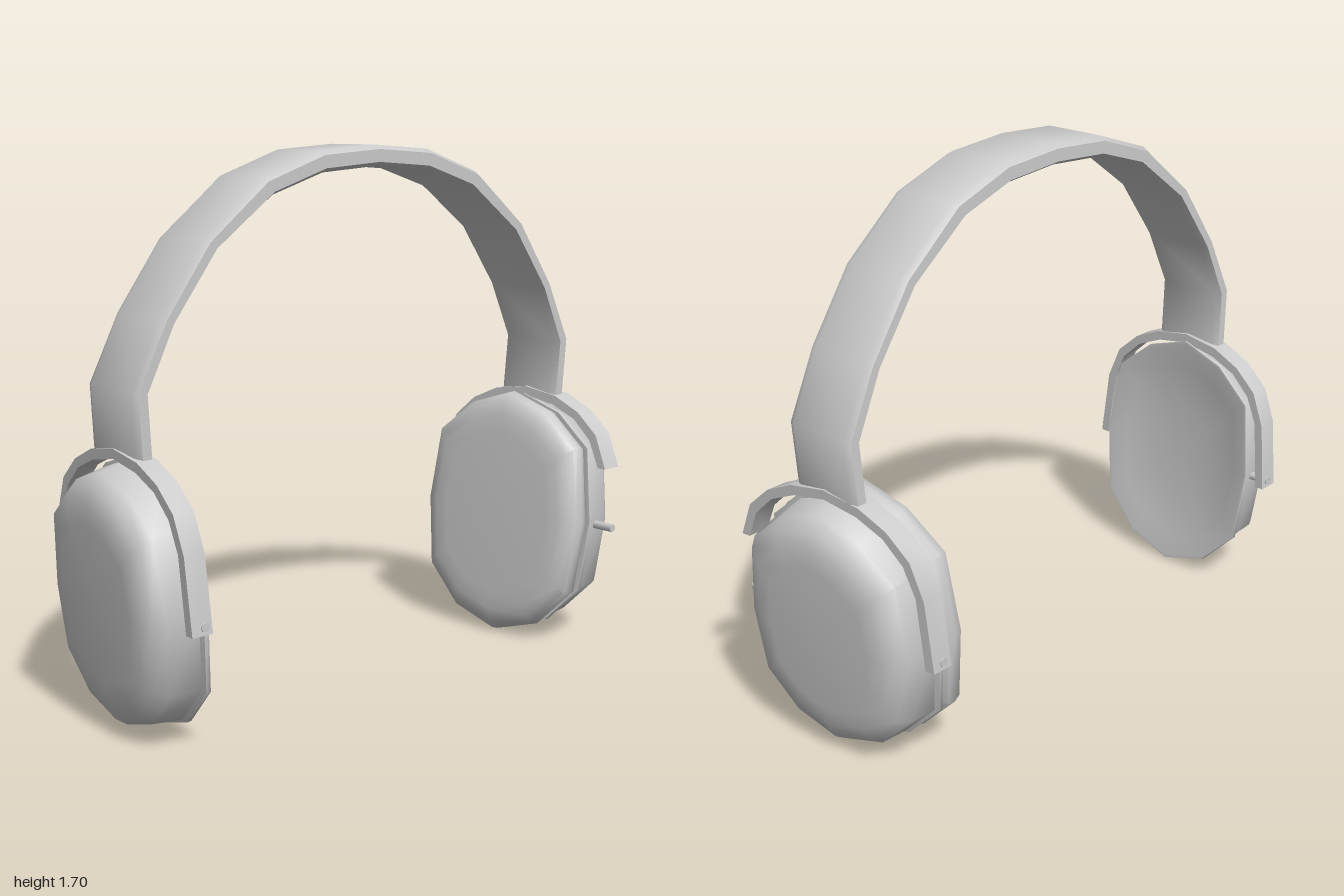
import * as THREE from 'three';
import { toCreasedNormals } from 'three/addons/utils/BufferGeometryUtils.js';

const material = new THREE.MeshStandardMaterial({ color: 0xcccccc });

// Closed skin through a list of cross-sections, each a loop of [x, y, z]; ends are capped.
function loft(name, sections) {
  const n = sections[0].length, pos = sections.flat(2), index = [];
  const cap = (loop) => {
    pos.push(...[0, 1, 2].map((k) => loop.reduce((sum, p) => sum + p[k], 0) / n));
    return pos.length / 3 - 1;
  };
  const first = cap(sections[0]), last = cap(sections.at(-1));
  const end = (sections.length - 1) * n;
  for (let j = 0; j < n; j++) {
    const k = (j + 1) % n;
    for (let i = 0; i < end; i += n) index.push(i + j, i + k, i + n + k, i + j, i + n + k, i + n + j);
    index.push(first, k, j, last, end + j, end + k);
  }
  // Turn the faces outward: the enclosed volume must be positive.
  const v = (i) => new THREE.Vector3().fromArray(pos, i * 3);
  let volume = 0;
  for (let t = 0; t < index.length; t += 3) volume += v(index[t]).dot(v(index[t + 1]).cross(v(index[t + 2])));
  if (volume < 0) index.reverse();

  const geo = new THREE.BufferGeometry();
  geo.setAttribute('position', new THREE.Float32BufferAttribute(pos, 3));
  geo.setIndex(index);
  const mesh = new THREE.Mesh(toCreasedNormals(geo, 0.85), material);
  mesh.name = name;
  return mesh;
}

// Twelve-sided ear outline as [z, y]
const half = [[0, 0.405], [0.157, 0.355], [0.285, 0.25], [0.317, 0.005], [0.29, -0.23], [0.165, -0.355], [0, -0.405]];
const outline = [...half, ...half.slice(1, -1).reverse().map(([z, y]) => [-z, y])];

// Stack of scaled ear outlines; profile is [depth, scale]
const earShape = (name, profile) =>
  loft(name, profile.map(([u, k]) => outline.map(([z, y]) => [u, y * k, z * k])));

// Headband: matching outer and inner edge points, centre to end
function headband() {
  const outer = [[0, 1.7], [0.22, 1.685], [0.44, 1.61], [0.65, 1.44], [0.8, 1.23], [0.9, 1.03], [0.887, 0.83]];
  const inner = [[0, 1.635], [0.21, 1.62], [0.4, 1.56], [0.61, 1.41], [0.76, 1.21], [0.85, 1.02], [0.835, 0.83]];
  const bevel = [[0, 0.1], [0.2, 0.123], [0.8, 0.123], [1, 0.1], [1, -0.1], [0.8, -0.123], [0.2, -0.123], [0, -0.1]];
  const section = (i, s) => bevel.map(([t, z]) => {
    const y = THREE.MathUtils.lerp(inner[i][1], outer[i][1], t);
    return [s * THREE.MathUtils.lerp(inner[i][0], outer[i][0], t), y, z + 0.023 * (y - 0.83)];
  });
  const ids = outer.map((_, i) => i);
  return loft('headband', [
    ...ids.slice(1).reverse().map((i) => section(i, -1)),
    ...ids.map((i) => section(i, 1)),
  ]);
}

// Sideways position of the yoke, which is slightly turned and tilted
const yokeX = (y, z) => 0.86 + 0.07 * z + 0.04 * (y - 0.85);

// Yoke: flat strip arching over the cup; the left one has a short front leg
function yoke(s) {
  const outer = [[0, 0.855], [0.13, 0.835], [0.23, 0.79], [0.31, 0.72], [0.355, 0.61], [0.378, 0.385]];
  const inner = [[0, 0.825], [0.12, 0.805], [0.215, 0.765], [0.285, 0.7], [0.325, 0.61], [0.346, 0.385]];
  const section = (i, d) => [[outer, -1], [outer, 1], [inner, 1], [inner, -1]].map(([edge, w]) => {
    const [z, y] = edge[i];
    return [s * (yokeX(y, d * z) + w * 0.035), y, d * z];
  });
  const ids = outer.map((_, i) => i);
  const front = s > 0 ? ids.slice(0, -1) : ids;
  return loft(s > 0 ? 'leftYoke' : 'rightYoke', [
    ...ids.slice(1).reverse().map((i) => section(i, -1)),
    ...front.map((i) => section(i, 1)),
  ]);
}

// Hinge pin joining the cup to a yoke leg
function pin(s, d) {
  const mesh = new THREE.Mesh(new THREE.CylinderGeometry(0.014, 0.014, 0.1, 8), material);
  mesh.rotation.x = Math.PI / 2;
  mesh.position.set(s * (yokeX(0.405, d * 0.34) - 0.008), 0.408, d * 0.33);
  mesh.name = 'hingePin';
  return mesh;
}

// Ear cup: rounded shell, groove, rim plate and shallow dish; local +x points outward
function earCup(s) {
  const side = new THREE.Group();
  side.name = s > 0 ? 'leftEarCup' : 'rightEarCup';
  side.position.set(s * 0.78, 0.42, 0);
  side.rotation.y = s > 0 ? 0 : Math.PI;
  const tilt = new THREE.Group();
  tilt.name = 'tiltedCup';
  tilt.rotation.set(0, s * 0.08, -0.09);
  tilt.add(earShape('cupShell', [
    [0.18, 0.6], [0.175, 0.75], [0.155, 0.88], [0.12, 0.95], [0.025, 0.99], [0.021, 0.95],
    [0.015, 1.02], [0, 1.02], [0, 0.99], [0.018, 0.8], [0.033, 0.4], [0.036, 0.02],
  ]));
  // Ear cushion, on the left cup only
  if (s > 0) {
    tilt.add(earShape('earCushion', [
      [0.005, 0.94], [-0.012, 0.97], [-0.025, 1.02], [-0.05, 1.04], [-0.08, 1.02], [-0.1, 0.95], [-0.11, 0.85], [-0.113, 0.7],
    ]));
  }
  side.add(tilt);
  return side;
}

export function createModel() {
  const model = new THREE.Group();
  model.name = 'headphones';
  model.add(headband());
  for (const s of [1, -1]) model.add(yoke(s), earCup(s), pin(s, 1), pin(s, -1));
  return model;
}
